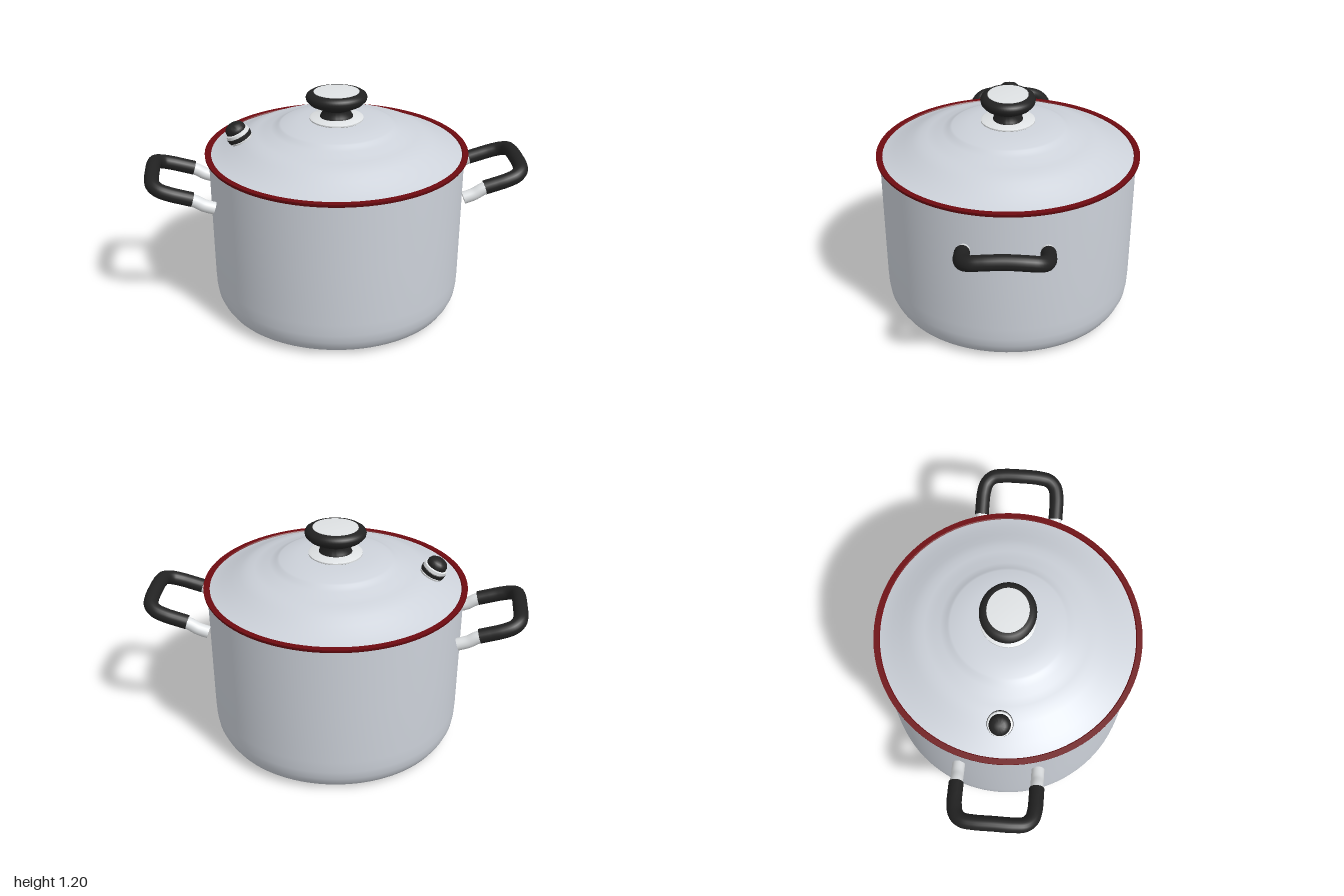
import * as THREE from 'three';
import { toCreasedNormals } from 'three/addons/utils/BufferGeometryUtils.js';

const material = (name, color) => {
  const m = new THREE.MeshStandardMaterial({ color });
  m.name = name;
  return m;
};

export function createModel() {
  const steel = material('brushed steel', 0xcdd2da);
  const bright = material('polished steel', 0xdfe2e4);
  const black = material('black plastic', 0x222222);
  const red = material('dark red', 0x6e0a10);

  const model = new THREE.Group();
  model.name = 'cookingPot';

  const add = (parent, name, geometry, mat) => {
    const mesh = new THREE.Mesh(geometry, mat);
    mesh.name = name;
    parent.add(mesh);
    return mesh;
  };
  // Turned part from [radius, height] pairs, listed from bottom to top
  const turned = (parent, name, profile, mat, segments = 96, crease = 0.6) => {
    const points = profile.map(([r, y]) => new THREE.Vector2(r, y));
    const lathe = new THREE.LatheGeometry(points, segments);
    return add(parent, name, toCreasedNormals(lathe, crease), mat);
  };

  // Pot body with rounded foot and small lip
  turned(model, 'body', [
    [0, 0.005], [0.52, 0.005], [0.575, 0.011], [0.617, 0.03], [0.635, 0.057],
    [0.65, 0.09], [0.657, 0.135], [0.66, 0.2], [0.664, 0.5], [0.668, 0.84],
    [0.668, 0.85], [0.677, 0.852], [0.677, 0.864], [0, 0.864],
  ], steel);
  turned(model, 'basePlate', [[0, 0], [0.5, 0], [0.52, 0.006], [0, 0.006]], steel);

  // Coloured seal around the lid
  turned(model, 'lidSeal', [
    [0.655, 0.86], [0.681, 0.86], [0.687, 0.868], [0.688, 0.879], [0.66, 0.88], [0.655, 0.874],
  ], red);

  // Stepped dome lid
  turned(model, 'lid', [
    [0.662, 0.872], [0.635, 0.881], [0.59, 0.901], [0.54, 0.926], [0.5, 0.947], [0.455, 0.967],
    [0.42, 0.974], [0.38, 0.985], [0.34, 1.0], [0.312, 1.009], [0.302, 1.018], [0.29, 1.022],
    [0.25, 1.032], [0.2, 1.041], [0.1, 1.046], [0, 1.046],
  ], steel);

  // Lid knob, slightly wider across the handles
  const knob = new THREE.Group();
  knob.name = 'knob';
  model.add(knob);
  turned(knob, 'knobWasher', [
    [0.134, 1.044], [0.14, 1.048], [0.14, 1.055], [0.13, 1.06], [0, 1.06],
  ], bright, 64);
  const grip = turned(knob, 'knobGrip', [
    [0.078, 1.058], [0.074, 1.07], [0.064, 1.088], [0.066, 1.1], [0.09, 1.112], [0.122, 1.13],
    [0.139, 1.15], [0.142, 1.166], [0.137, 1.18], [0.122, 1.191], [0.105, 1.193], [0, 1.193],
  ], black, 64, 0.9);
  const cap = turned(knob, 'knobCap', [
    [0.106, 1.19], [0.105, 1.195], [0.06, 1.198], [0, 1.199],
  ], bright, 64, 0.9);
  grip.scale.x = cap.scale.x = 1.12;

  // Steam vent, set square to the sloping lid
  const vent = new THREE.Group();
  vent.name = 'steamVent';
  vent.position.set(-0.492, 0.942, 0);
  vent.rotation.z = 0.46;
  model.add(vent);
  turned(vent, 'ventBase', [[0.05, -0.02], [0.06, 0.004], [0.062, 0.014], [0.05, 0.018]], bright, 32);
  turned(vent, 'ventBody', [[0.05, 0.012], [0.064, 0.018], [0.066, 0.038], [0.058, 0.044]], black, 32);
  turned(vent, 'ventRing', [[0.054, 0.04], [0.064, 0.042], [0.062, 0.058], [0.05, 0.062]], bright, 32);
  turned(vent, 'ventCap', [
    [0.05, 0.058], [0.054, 0.064], [0.053, 0.08], [0.045, 0.094], [0.028, 0.104], [0, 0.107],
  ], black, 32, 0.9);

  // Tube with flat closed ends
  const rod = (parent, name, path, radius, segments, mat) => {
    const curve = new THREE.CatmullRomCurve3(path.map((p) => new THREE.Vector3(...p)));
    add(parent, name, new THREE.TubeGeometry(curve, segments, radius, 20), mat);
    for (const t of [0, 1]) {
      const end = add(parent, name + 'End', new THREE.CircleGeometry(radius, 20), mat);
      end.position.copy(curve.getPoint(t));
      const outward = curve.getTangent(t).multiplyScalar(t ? 1 : -1);
      end.quaternion.setFromUnitVectors(new THREE.Vector3(0, 0, 1), outward);
    }
  };

  // Handles: bent grip on two steel stubs, half a turn apart
  const half = [
    [0.755, 0.711, 0.203], [0.81, 0.727, 0.203], [0.87, 0.745, 0.201],
    [0.922, 0.762, 0.188], [0.953, 0.777, 0.155], [0.962, 0.786, 0.1],
  ];
  const path = [
    ...half,
    [0.963, 0.791, 0],
    ...half.map(([x, y, z]) => [x, y, -z]).reverse(),
  ];
  for (const [name, turn] of [['leftHandle', 0], ['rightHandle', Math.PI]]) {
    const handle = new THREE.Group();
    handle.name = name;
    handle.rotation.y = turn;
    model.add(handle);
    rod(handle, 'handleGrip', path, 0.038, 80, black);
    for (const z of [0.203, -0.203]) {
      rod(handle, 'handleStub', [[0.645, 0.657, z], [0.7, 0.676, z], [0.74, 0.7, z], [0.79, 0.721, z]], 0.033, 16, bright);
    }
  }

  return model;
}
